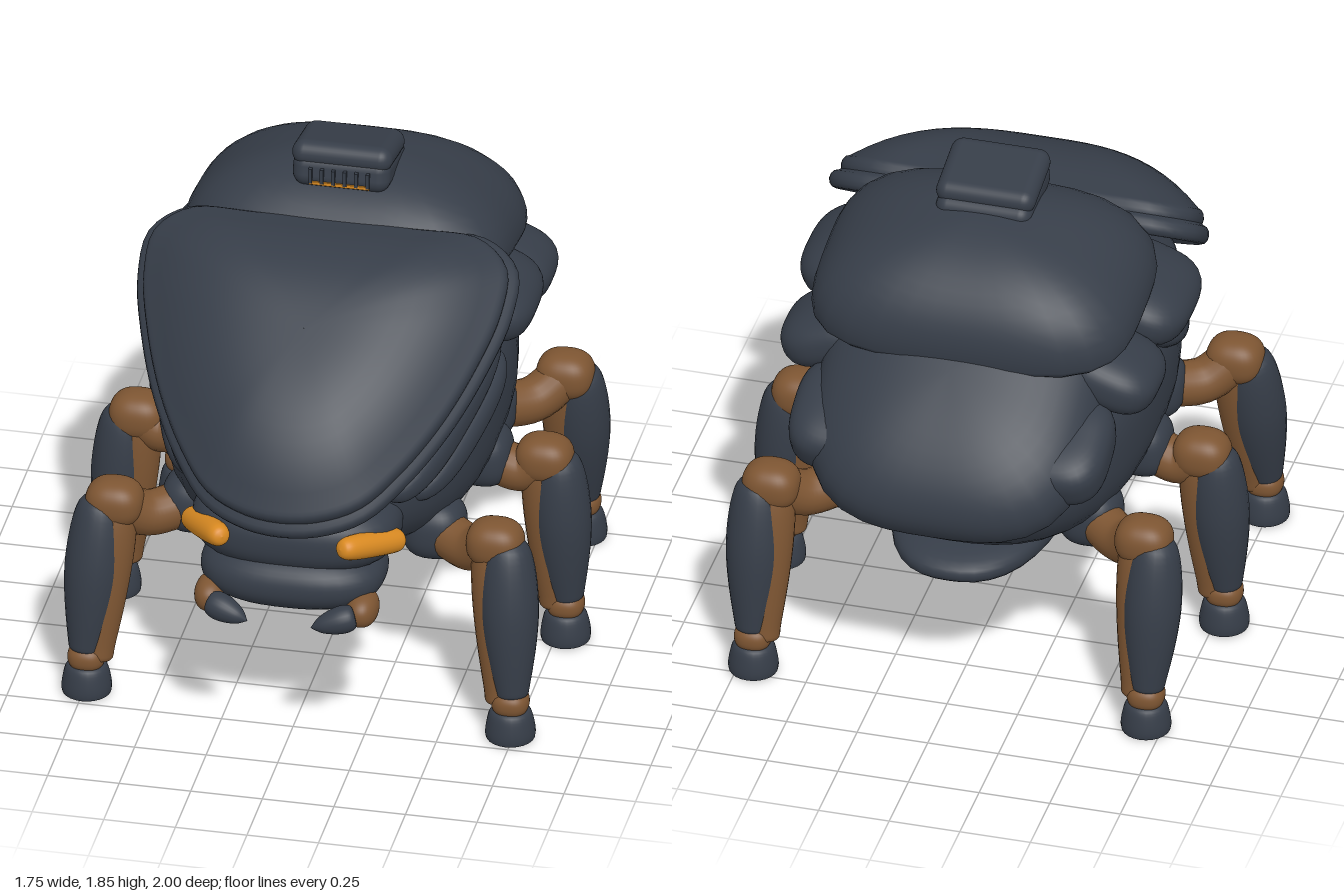
import * as THREE from 'three';
import { mergeVertices } from 'three/addons/utils/BufferGeometryUtils.js';
import { RoundedBoxGeometry } from 'three/addons/geometries/RoundedBoxGeometry.js';

const mat = (name, color) => {
  const m = new THREE.MeshStandardMaterial({ color });
  m.name = name;
  return m;
};
const V = (x, y, z) => new THREE.Vector3(x, y, z);

// Boxy ellipsoid; k is boxiness in plan, kv in height, low flattens the lower half.
function blobGeometry(h, k, kv, low) {
  let g = new THREE.SphereGeometry(1, 40, 28);
  g.deleteAttribute('uv');
  g.deleteAttribute('normal');
  g = mergeVertices(g, 1e-4);
  const p = g.attributes.position;
  for (let i = 0; i < p.count; i++) {
    const x = p.getX(i), y = p.getY(i), z = p.getZ(i);
    const plan = Math.pow(Math.abs(x) ** k + Math.abs(z) ** k, 1 / k);
    const n = Math.pow(plan ** kv + Math.abs(y) ** kv, 1 / kv);
    p.setXYZ(i, x / n * h[0], y / n * h[1] * (y < 0 ? low : 1), z / n * h[2]);
  }
  g.computeVertexNormals();
  return g;
}

// Domed closed plate: concentric rings of an outline given as [x, z] half points.
function plateGeometry(half, scale, bulge, bottom, top) {
  const mirrored = half.slice(1, -1).reverse().map(([x, z]) => [-x, z]);
  const curve = new THREE.CatmullRomCurve3([...half, ...mirrored].map(([x, z]) => V(x, 0, z)), true);
  const cz = 0.52, N = 96, dome = r => bulge * (1 - r ** 3);
  const rings = [];
  for (let i = 0; i <= 12; i++) rings.push([0.001 + i * 0.08, top + dome(i * 0.08)]);
  for (let i = 1; i <= 6; i++) {
    const a = Math.PI * i / 6;
    rings.push([0.96 + 0.04 * Math.sin(a), (top + bottom) / 2 + (top - bottom) / 2 * Math.cos(a) + dome(0.96)]);
  }
  for (let i = 11; i >= 0; i--) rings.push([0.001 + i * 0.08, bottom + dome(i * 0.08)]);
  const pos = [], index = [];
  const outline = curve.getSpacedPoints(N).slice(0, N);
  for (const [r, h] of rings)
    for (const o of outline) pos.push(o.x * r * scale, h, cz + (o.z - cz) * r * scale);
  for (let i = 0; i < rings.length - 1; i++)
    for (let j = 0; j < N; j++) {
      const a = i * N + j, b = i * N + (j + 1) % N;
      index.push(a, b, a + N, b, b + N, a + N);
    }
  const g = new THREE.BufferGeometry();
  g.setAttribute('position', new THREE.Float32BufferAttribute(pos, 3));
  g.setIndex(index);
  g.computeVertexNormals();
  return g;
}

export function createModel() {
  const model = new THREE.Group();
  model.name = 'beetleRobot';
  const dark = mat('darkArmour', 0x363d48);
  const brown = mat('bronzeJoint', 0x7d5532);
  const amber = mat('amberLight', 0xd98a22);

  const add = (name, geo, m, pos = [0, 0, 0], rot = [0, 0, 0], parent = model) => {
    const mesh = new THREE.Mesh(geo, m);
    mesh.name = name;
    mesh.position.set(...pos);
    mesh.rotation.set(rot[0], rot[1], rot[2], 'YXZ');
    parent.add(mesh);
    return mesh;
  };
  const blob = (name, m, pos, h, { k = 2.6, kv = k, low = 1, rot, parent } = {}) =>
    add(name, blobGeometry(h, k, kv, low), m, pos, rot, parent);
  // Turned part from a to b; profile is [radius, fraction along].
  const turned = (name, m, a, b, profile, parent) => {
    const d = b.clone().sub(a), len = d.length();
    const curve = new THREE.SplineCurve(profile.map(([r, t]) => new THREE.Vector2(r, t * len)));
    const pts = curve.getPoints(28).map(p => p.set(Math.max(p.x, 0), p.y));
    const mesh = add(name, new THREE.LatheGeometry(pts, 24), m, a.toArray(), undefined, parent);
    mesh.quaternion.setFromUnitVectors(V(0, 1, 0), d.normalize());
    return mesh;
  };

  // Hull
  blob('body', dark, [0, 0.91, -0.05], [0.57, 0.39, 0.79]);
  blob('bellyPlate', dark, [0, 0.53, -0.12], [0.3, 0.09, 0.64], { k: 2.5 });
  blob('rearShell', dark, [0, 1.145, -0.56], [0.5, 0.24, 0.52], { k: 3.1, kv: 2.3, low: 0.4, rot: [-0.66, 0, 0] });
  blob('rearShellLip', dark, [0, 1.08, -0.56], [0.47, 0.15, 0.47], { k: 3.1, kv: 2.3, low: 0.55, rot: [-0.6, 0, 0] });
  blob('topDome', dark, [0, 1.415, -0.265], [0.57, 0.315, 0.415], { k: 3.6, kv: 2.05, low: 0.35, rot: [-0.17, 0, 0] });

  // Front shield in two layers
  const shield = new THREE.Group();
  shield.name = 'frontShield';
  shield.position.set(0, 1.565, 0);
  shield.rotation.x = 0.62;
  model.add(shield);
  const outline = [[0, 0], [0.3, 0], [0.53, 0.01], [0.645, 0.11], [0.655, 0.28], [0.61, 0.48],
    [0.52, 0.73], [0.4, 0.95], [0.28, 1.1], [0.14, 1.17], [0, 1.19]];
  add('shieldRim', plateGeometry(outline, 1, 0.19, -0.05, 0.015), dark, undefined, undefined, shield);
  add('shieldFace', plateGeometry(outline, 0.955, 0.19, 0, 0.07), dark, undefined, undefined, shield);

  // Hatch with a lit vent
  add('hatchBase', new RoundedBoxGeometry(0.34, 0.12, 0.31, 4, 0.045), dark, [0, 1.72, -0.155], [-0.2, 0, 0]);
  add('hatchCap', new RoundedBoxGeometry(0.35, 0.09, 0.28, 4, 0.044), dark, [0, 1.78, -0.15], [-0.2, 0, 0]);
  add('ventLight', new THREE.BoxGeometry(0.21, 0.012, 0.008), amber, [0, 1.712, 0.002]);
  for (let i = 0; i < 6; i++)
    add('ventSlat', new THREE.BoxGeometry(0.012, 0.055, 0.014), dark, [-0.1 + i * 0.04, 1.74, 0.002]);

  // Head
  blob('brow', dark, [0, 0.79, 0.67], [0.36, 0.14, 0.24]);
  blob('jaw', dark, [0, 0.635, 0.72], [0.32, 0.12, 0.22], { kv: 2.3 });

  const innerProfile = [[0, 0], [0.05, 0.005], [0.058, 0.1], [0.075, 0.4], [0.082, 0.68], [0.075, 0.9], [0.05, 0.98], [0, 1]];
  const armourProfile = [[0, 0], [0.05, 0.005], [0.065, 0.08], [0.092, 0.35], [0.102, 0.58], [0.092, 0.82], [0.065, 0.96], [0, 1]];
  const footProfile = [[0, 0], [0.072, 0], [0.086, 0.12], [0.083, 0.5], [0.07, 0.9], [0.045, 1], [0, 1]];
  const legs = [
    { name: 'front', hip: [0.42, 0.65, 0.4], knee: [0.665, 0.7, 0.555], foot: [0.74, 0, 0.66], out: V(0.96, 0, 0.2) },
    { name: 'middle', hip: [0.5, 0.7, -0.03], knee: [0.71, 0.7, -0.04], foot: [0.785, 0, -0.03], out: V(1, 0, 0) },
    { name: 'rear', hip: [0.42, 0.65, -0.42], knee: [0.66, 0.7, -0.61], foot: [0.695, 0, -0.715], out: V(0.96, 0, -0.2) },
  ];

  for (const s of [1, -1]) {
    const side = s > 0 ? 'left' : 'right';
    const P = (x, y, z) => V(s * x, y, z);

    // Rounded armour pads around the dome
    blob(side + 'FrontPad', dark, [s * 0.51, 1.335, -0.05], [0.18, 0.105, 0.23], { k: 3, kv: 2.5, rot: [0, 0, -0.35 * s] });
    blob(side + 'MiddlePad', dark, [s * 0.49, 1.25, -0.41], [0.18, 0.105, 0.175], { k: 3, kv: 2.5, rot: [0, 0, -0.35 * s] });
    blob(side + 'RearPad', dark, [s * 0.4, 1.07, -0.68], [0.16, 0.11, 0.2], { k: 3, rot: [-0.4, 0, 0] });

    // Stacked flank plates under the shield
    [[0.39, 1.155, 0.36, 0.1, 0.4], [0.42, 1.07, 0.35, 0.085, 0.4], [0.45, 0.995, 0.29, 0.075, 0.34]].forEach(([x, y, z, h, len]) =>
      blob(side + 'FlankPlate', dark, [s * x, y, z], [0.12, h, len], { rot: [0.4, -0.27 * s, 0] }));

    // Eyes
    turned(side + 'Eye', amber, P(0.37, 0.765, 0.71), P(0.205, 0.835, 0.945),
      [[0, 0], [0.034, 0.04], [0.044, 0.2], [0.044, 0.75], [0.032, 0.95], [0, 1]]);

    // Mandibles
    blob(side + 'MandibleJoint', brown, [s * 0.265, 0.56, 0.85], [0.055, 0.06, 0.085], { k: 2.2 });
    turned(side + 'MandibleClaw', dark, P(0.255, 0.57, 0.93), P(0.11, 0.535, 0.98),
      [[0, 0], [0.04, 0.05], [0.048, 0.35], [0.03, 0.75], [0, 1]]);

    // Legs
    for (const { name, hip, knee, foot, out } of legs) {
      const leg = new THREE.Group();
      leg.name = `${side}${name[0].toUpperCase()}${name.slice(1)}Leg`;
      model.add(leg);
      const o = V(out.x * s, 0, out.z), H = P(...hip), K = P(...knee), F = P(...foot);
      const socketSize = name === 'middle' ? [0.1, 0.11, 0.11] : [0.11, 0.11, 0.11];
      blob('hipSocket', dark, H.toArray(), socketSize, { parent: leg });
      const elbow = H.clone().lerp(K, 0.6).add(V(0, -0.05, 0));
      add('upperLeg', new THREE.TubeGeometry(new THREE.CatmullRomCurve3([H, elbow, K]), 16, 0.08, 20),
        brown, undefined, undefined, leg);
      blob('knee', brown, K.toArray(), [0.1, 0.085, 0.088], { kv: 2.4, parent: leg });
      const ankle = F.clone().setY(0.14);
      const shift = (v, d, y) => v.clone().addScaledVector(o, d).setY(y);
      turned('innerShin', brown, shift(ankle, -0.035, 0.13), shift(K, -0.01, 0.72), innerProfile, leg);
      turned('shinArmour', dark, shift(ankle, 0.005, 0.16), shift(K, 0.045, 0.73), armourProfile, leg);
      blob('ankle', brown, ankle.toArray(), [0.065, 0.05, 0.065], { k: 2.4, parent: leg });
      turned('foot', dark, F, F.clone().setY(0.115), footProfile, leg);
    }
  }
  return model;
}
